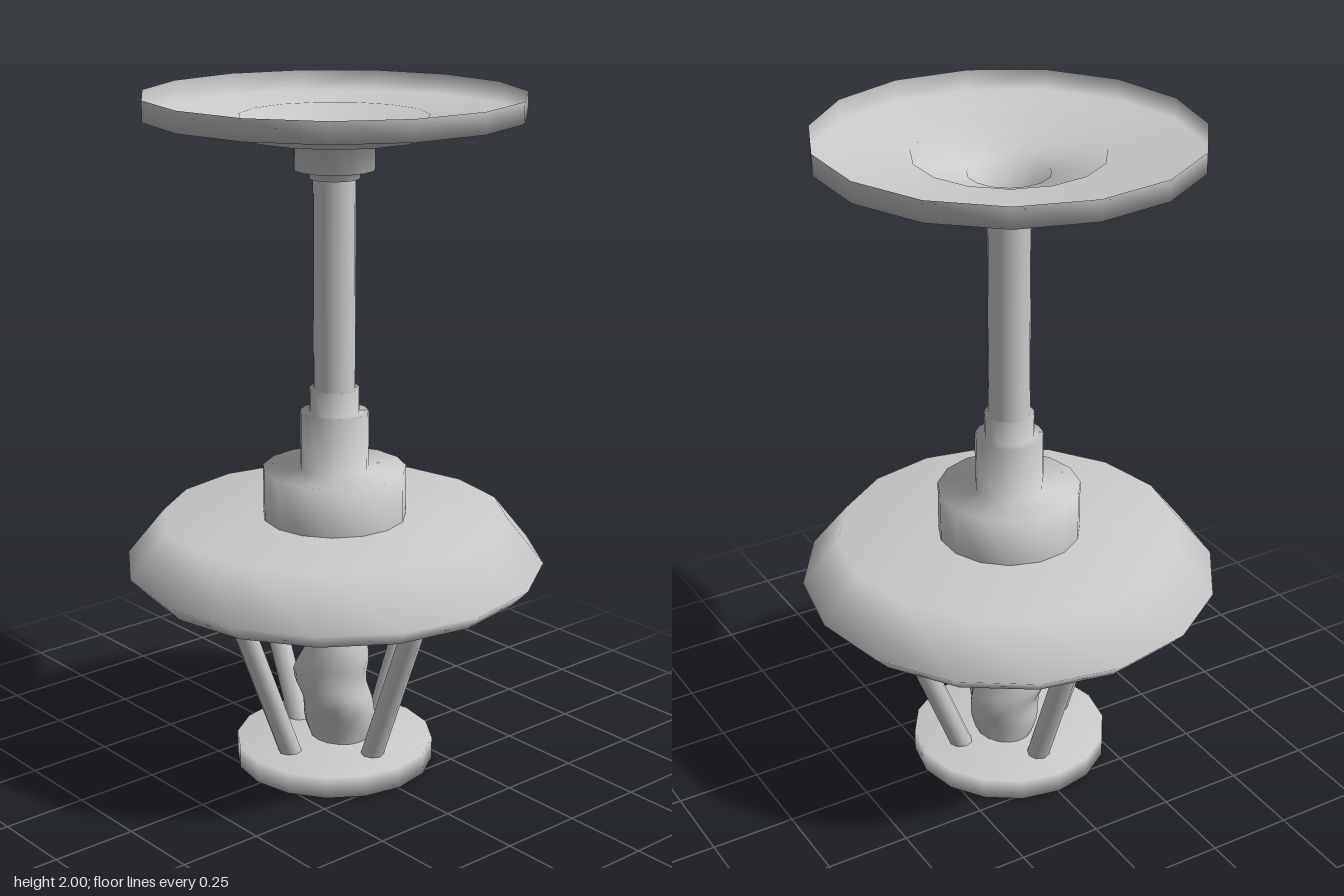
import * as THREE from 'three';
import { mergeVertices } from 'three/addons/utils/BufferGeometryUtils.js';

const material = new THREE.MeshStandardMaterial({ color: 0xcccccc, side: THREE.DoubleSide });

function addMesh(parent, name, geometry) {
  const mesh = new THREE.Mesh(geometry, material);
  mesh.name = name;
  parent.add(mesh);
  return mesh;
}

// Turned part from [radius, height] pairs
function turned(profile, sides, start = 0) {
  return new THREE.LatheGeometry(profile.map(([r, y]) => new THREE.Vector2(r, y)), sides, start);
}

// Lumpy column lofted through [y, xMin, xMax, zMin, zMax] sections
function lumpyColumn(sections, rings, sides) {
  const lows = new THREE.CatmullRomCurve3(sections.map(s => new THREE.Vector3(s[1], s[0], s[3])));
  const highs = new THREE.CatmullRomCurve3(sections.map(s => new THREE.Vector3(s[2], s[0], s[4])));
  const positions = [];
  const index = [];
  for (let i = 0; i <= rings; i++) {
    const lo = lows.getPoint(i / rings);
    const hi = highs.getPoint(i / rings);
    for (let j = 0; j < sides; j++) {
      const a = (j / sides) * Math.PI * 2;
      const lump = 1 + 0.06 * Math.sin(2 * a) * Math.sin(i * 0.9);
      positions.push(
        (lo.x + hi.x) / 2 + Math.sin(a) * lump * (hi.x - lo.x) / 2,
        (lo.y + hi.y) / 2,
        (lo.z + hi.z) / 2 + Math.cos(a) * lump * (hi.z - lo.z) / 2
      );
      if (i < rings) {
        const b = i * sides + j;
        const c = i * sides + (j + 1) % sides;
        index.push(b, c, c + sides, b, c + sides, b + sides);
      }
    }
  }
  const geometry = new THREE.BufferGeometry();
  geometry.setAttribute('position', new THREE.Float32BufferAttribute(positions, 3));
  geometry.setIndex(index);
  const welded = mergeVertices(geometry);
  welded.computeVertexNormals();
  return welded;
}

export function createModel() {
  const model = new THREE.Group();
  model.name = 'hangingLamp';

  // Hollow stepped stem, opening into a dished plate at the top
  addMesh(model, 'stemAndCeilingPlate', turned([
    [0.21, 0.775], [0.21, 0.92],
    [0.1, 0.92], [0.1, 1.09],
    [0.073, 1.09], [0.073, 1.16],
    [0.061, 1.16], [0.061, 1.765],
    [0.073, 1.765], [0.073, 1.79],
    [0.115, 1.79], [0.115, 1.885],
    [0.267, 1.885], [0.267, 1.94],
    [0.54, 1.94], [0.54, 2]
  ], 15, -Math.PI / 2));

  // Shade with a recessed underside
  addMesh(model, 'shade', turned([
    [0, 0.68], [0.47, 0.68], [0.565, 0.59],
    [0.613, 0.64], [0.505, 0.775], [0, 0.775]
  ], 16));

  // Round base
  addMesh(model, 'base', turned([[0, 0], [0.295, 0.005], [0.295, 0.07], [0, 0.07]], 16));

  // Four slanted struts between base and shade
  const foot = new THREE.Vector3(0.165, 0.05, 0);
  const head = new THREE.Vector3(0.415, 0.69, 0);
  const along = head.clone().sub(foot);
  const strutGeometry = new THREE.CylinderGeometry(0.033, 0.033, along.length(), 8);
  for (let i = 0; i < 4; i++) {
    const pivot = new THREE.Group();
    pivot.name = 'strut' + (i + 1);
    pivot.rotation.y = i * Math.PI / 2;
    const strut = addMesh(pivot, 'strutRod', strutGeometry);
    strut.position.copy(foot).add(head).multiplyScalar(0.5);
    strut.quaternion.setFromUnitVectors(new THREE.Vector3(0, 1, 0), along.normalize());
    model.add(pivot);
  }

  // Irregular core standing on the base
  addMesh(model, 'core', lumpyColumn([
    [0.06, -0.06, 0.1, -0.09, 0.09],
    [0.13, -0.08, 0.115, -0.105, 0.11],
    [0.2, -0.1, 0.115, -0.11, 0.12],
    [0.27, -0.115, 0.085, -0.12, 0.11],
    [0.35, -0.1, 0.085, -0.085, 0.115],
    [0.43, -0.07, 0.095, -0.075, 0.095],
    [0.51, -0.065, 0.1, -0.115, 0.085],
    [0.59, -0.08, 0.11, -0.1, 0.1],
    [0.69, -0.08, 0.1, -0.09, 0.09]
  ], 20, 16));

  return model;
}
